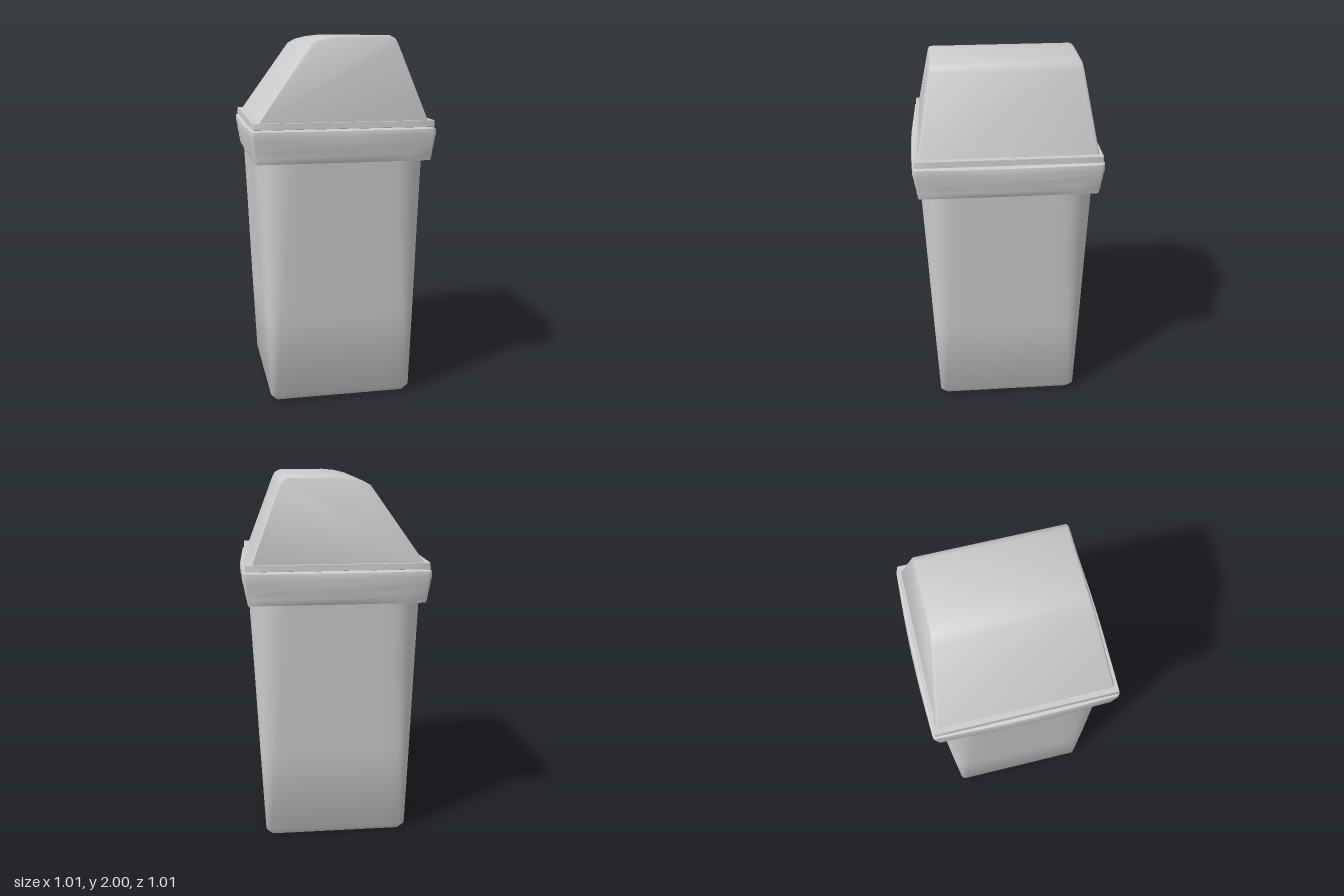
import * as THREE from 'three';
import { toCreasedNormals } from 'three/addons/utils/BufferGeometryUtils.js';

const material = new THREE.MeshStandardMaterial({ color: 0xcccccc });

// Rounded square outline: half width h, corner radius r, sides bowed out by b
function ring(y, h, r, b) {
  const pts = [], arc = 5, side = 8;
  for (let k = 0; k < 4; k++) {
    const corner = (a, q) => {
      const m = (q + 0.5) * Math.PI / 2, c = (h - r) * Math.SQRT2;
      return [c * Math.cos(m) + r * Math.cos(a), -c * Math.sin(m) - r * Math.sin(a)];
    };
    for (let i = 0; i <= arc; i++) pts.push(corner((k + i / arc) * Math.PI / 2, k));
    const p = pts[pts.length - 1], n = corner((k + 1) * Math.PI / 2, k + 1);
    for (let i = 1; i < side; i++) {
      const t = i / side;
      pts.push([p[0] + (n[0] - p[0]) * t, p[1] + (n[1] - p[1]) * t]);
    }
  }
  const bow = (u, v) => u * (1 + b / h * Math.cos(Math.PI * v / (2 * h)));
  return pts.map(([x, z]) => [bow(x, z), y, bow(z, x)]);
}

// Skin a stack of outlines given as [y, h, r, b], from the bottom up
function loft(name, levels, crease) {
  const rings = levels.map(([y, h, r = 0.01, b = 0]) => ring(y, h, r, b));
  const n = rings[0].length, index = [];
  for (let i = 0; i < rings.length - 1; i++) {
    for (let j = 0; j < n; j++) {
      const a = i * n + j, c = i * n + (j + 1) % n;
      index.push(a, c, c + n, a, c + n, a + n);
    }
  }
  const geo = new THREE.BufferGeometry();
  geo.setAttribute('position', new THREE.Float32BufferAttribute(rings.flat(2), 3));
  geo.setIndex(index);
  const mesh = new THREE.Mesh(toCreasedNormals(geo, crease), material);
  mesh.name = name;
  return mesh;
}

// Asymmetric hood: side profile extruded front to back, then drawn in towards the top
function hood() {
  const profile = [[-0.46, 1.55], [0.455, 1.55], [0.3, 1.96], [0.285, 1.985], [0.255, 2],
    [0, 2], [-0.07, 1.993], [-0.13, 1.978], [-0.175, 1.955]];
  const shape = new THREE.Shape(profile.map(([x, y]) => new THREE.Vector2(x, y)));
  const geo = new THREE.ExtrudeGeometry(shape, {
    depth: 0.97, bevelThickness: 0.015, bevelSize: 0.012, bevelOffset: -0.012, bevelSegments: 2,
  });
  const p = geo.attributes.position;
  for (let i = 0; i < p.count; i++) {
    const halfDepth = 0.465 - 0.08 * (p.getY(i) - 1.55) / 0.45;
    p.setZ(i, (p.getZ(i) - 0.485) * 2 * halfDepth);
  }
  const mesh = new THREE.Mesh(toCreasedNormals(geo, 0.75), material);
  mesh.name = 'lidHood';
  return mesh;
}

export function createModel() {
  const group = new THREE.Group();
  group.name = 'wasteBin';

  // Tapered bucket: tight corners at the foot, widely rounded ones at the top
  group.add(loft('body', [
    [0, 0.001, 0.0005], [0, 0.37, 0.02], [0.035, 0.397, 0.03],
    [0.5, 0.42, 0.08], [1, 0.443, 0.135], [1.45, 0.465, 0.18],
  ], 0.9));

  // Rippled skirt of the lid, bowed out at the middle of each side
  group.add(loft('lidSkirt', [
    [1.35, 0.43], [1.35, 0.467, 0.01, 0.002], [1.385, 0.473, 0.01, 0.015],
    [1.41, 0.475, 0.01, 0.009], [1.44, 0.482, 0.015, 0.018], [1.46, 0.483, 0.015, 0.013],
    [1.49, 0.49, 0.02, 0.016], [1.52, 0.488, 0.02, 0.01], [1.53, 0.465],
  ], 0.9));

  // Flat lip around the foot of the hood
  group.add(loft('lidLip', [
    [1.525, 0.46], [1.53, 0.482, 0.008], [1.562, 0.48, 0.008], [1.562, 0.001, 0.0005],
  ], 0.5));

  group.add(hood());
  return group;
}
